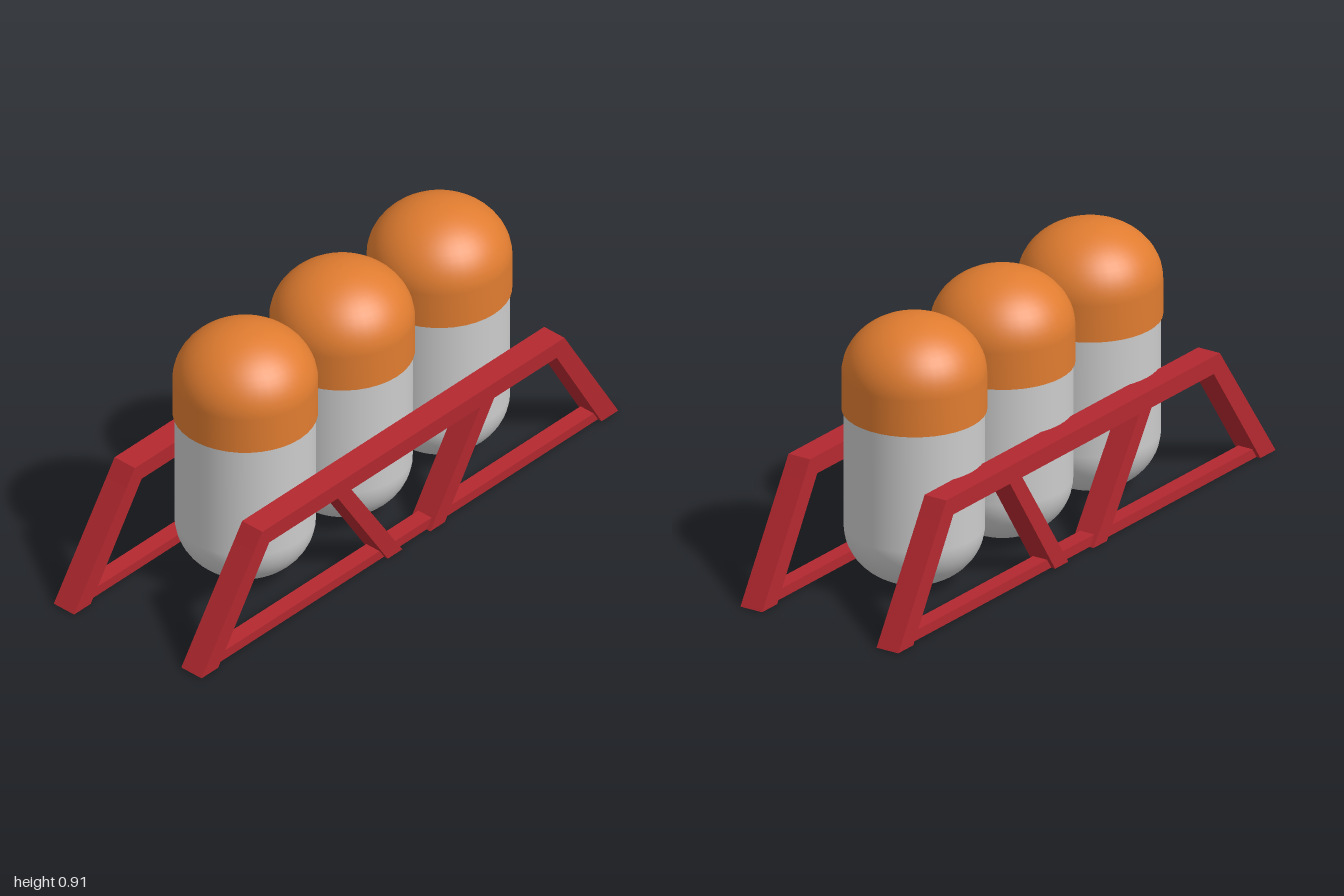
import * as THREE from 'three';

const grey = new THREE.MeshStandardMaterial({ color: 0xcccccc });
const orange = new THREE.MeshStandardMaterial({ color: 0xe07c30 });
const red = new THREE.MeshStandardMaterial({ color: 0xb3282f });

function addMesh(parent, name, geometry, material) {
  const mesh = new THREE.Mesh(geometry, material);
  mesh.name = name;
  parent.add(mesh);
  return mesh;
}

// Quarter ellipse in (radius, height), from angle a0 to a1
function arc(r, h, y, a0, a1, n = 14) {
  return Array.from({ length: n + 1 }, (_, i) => {
    const a = a0 + ((a1 - a0) * i) / n;
    return new THREE.Vector2(Math.max(0, r * Math.cos(a)), y + h * Math.sin(a));
  });
}

// Upright canister: rounded grey body with a slightly wider orange dome cap
function canister() {
  const group = new THREE.Group();
  const body = [...arc(0.225, 0.19, 0.193, -Math.PI / 2, 0), new THREE.Vector2(0.225, 0.62)];
  addMesh(group, 'canisterBody', new THREE.LatheGeometry(body, 40), grey);
  const cap = [new THREE.Vector2(0.232, 0.595), ...arc(0.232, 0.192, 0.72, 0, Math.PI / 2)];
  addMesh(group, 'canisterCap', new THREE.LatheGeometry(cap, 40), orange);
  const lip = new THREE.RingGeometry(0.22, 0.232, 40).rotateX(Math.PI / 2);
  addMesh(group, 'capLip', lip, orange).position.y = 0.595;
  return group;
}

// Flat bar outlined in the (z, y) plane, centred across its width in x
function bar(points, width) {
  const shape = new THREE.Shape(points.map(([z, y]) => new THREE.Vector2(z, y)));
  const geometry = new THREE.ExtrudeGeometry(shape, { depth: width, bevelEnabled: false });
  return geometry.translate(0, 0, -width / 2).rotateY(-Math.PI / 2);
}

// Trapezoid side frame with two braces meeting near the middle of the base
function sideFrame() {
  const group = new THREE.Group();
  const width = 0.086;
  addMesh(group, 'topRail', bar([[-0.763, 0.37], [0.763, 0.37], [0.725, 0.43], [-0.725, 0.43]], width), red);
  addMesh(group, 'bottomRail', bar([[-0.95, 0.001], [0.95, 0.001], [0.95, 0.035], [-0.95, 0.035]], 0.056), red);
  for (const s of [1, -1]) {
    const leg = [[s, 0], [s * 0.92, 0], [s * 0.69, 0.37], [s * 0.763, 0.37]];
    addMesh(group, s > 0 ? 'frontLeg' : 'backLeg', bar(leg, width), red);
  }
  addMesh(group, 'frontBrace', bar([[0.036, 0], [0.106, 0], [0.36, 0.37], [0.295, 0.37]], width), red);
  addMesh(group, 'backBrace', bar([[-0.168, 0], [-0.098, 0], [-0.325, 0.37], [-0.39, 0.37]], width), red);
  return group;
}

export function createModel() {
  const model = new THREE.Group();
  model.name = 'canisterRack';

  // Row of three canisters
  [0.435, -0.03, -0.497].forEach((z, i) => {
    const c = canister();
    c.name = ['frontCanister', 'middleCanister', 'backCanister'][i];
    c.position.set(-0.008, 0, z);
    model.add(c);
  });

  // Both side frames lean slightly the same way
  [['leftFrame', 0.2625], ['rightFrame', -0.2775]].forEach(([name, x]) => {
    const f = sideFrame();
    f.name = name;
    f.position.set(x, 0.002, 0);
    f.rotation.z = -0.035;
    model.add(f);
  });
  return model;
}
